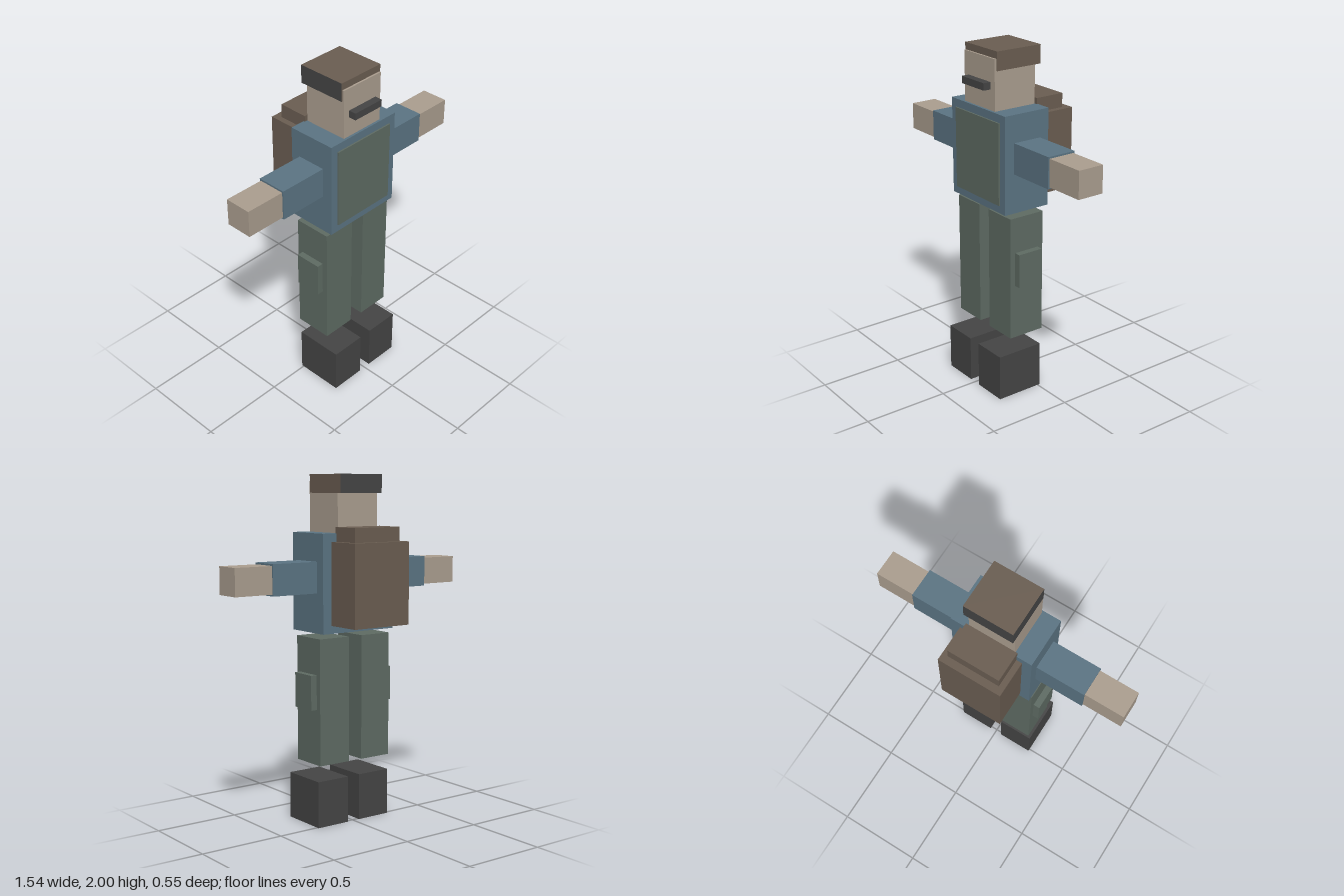
import * as THREE from 'three';

const mat = (name, color) => {
  const m = new THREE.MeshStandardMaterial({ color });
  m.name = name;
  return m;
};

export function createModel() {
  const model = new THREE.Group();
  model.name = 'figure';

  const skin = mat('skin', 0xac9f90);
  const blue = mat('blueShirt', 0x5c7584);
  const green = mat('greenCloth', 0x5f6c64);
  const brown = mat('brownLeather', 0x6b5e52);
  const dark = mat('darkGrey', 0x454545);

  // Box given by its [min, max] range on each axis
  const box = (name, material, x, y, z, parent = model) => {
    const mesh = new THREE.Mesh(
      new THREE.BoxGeometry(x[1] - x[0], y[1] - y[0], z[1] - z[0]), material);
    mesh.position.set((x[0] + x[1]) / 2, (y[0] + y[1]) / 2, (z[0] + z[1]) / 2);
    mesh.name = name;
    parent.add(mesh);
    return mesh;
  };

  // Head; the cap is brown on three faces and grey on the others
  box('head', skin, [-0.138, 0.138], [1.676, 1.96], [-0.05, 0.217]);
  box('cap', [brown, dark, brown, dark, brown, dark], [-0.145, 0.145], [1.895, 2], [-0.083, 0.206]);
  box('moustache', dark, [-0.1, 0.1], [1.79, 1.83], [0.21, 0.262]);

  // Torso with chest panel
  box('torso', blue, [-0.246, 0.246], [1.12, 1.676], [-0.06, 0.231]);
  box('chestPanel', green, [-0.2, 0.2], [1.165, 1.63], [0.2, 0.24]);

  // Backpack with a raised top
  box('backpack', brown, [-0.189, 0.189], [1.165, 1.63], [-0.273, -0.055]);
  box('backpackTop', brown, [-0.155, 0.155], [1.6, 1.71], [-0.23, -0.052]);

  // Mirrored limbs
  for (const [side, s] of [['left', 1], ['right', -1]]) {
    const span = (a, b) => (s > 0 ? [a, b] : [-b, -a]);
    const arm = new THREE.Group();
    arm.name = side + 'Arm';
    box(side + 'Sleeve', blue, span(0.24, 0.536), [1.345, 1.52], [-0.003, 0.171], arm);
    box(side + 'Hand', skin, span(0.53, 0.77), [1.355, 1.51], [0.005, 0.163], arm);

    const leg = new THREE.Group();
    leg.name = side + 'Leg';
    box(side + 'Trouser', green, span(0.045, 0.246), [0.365, 1.09], [-0.027, 0.196], leg);
    box(side + 'Pocket', green, span(0.235, 0.284), [0.685, 0.884], [0.006, 0.163], leg);
    box(side + 'Boot', dark, span(0.04, 0.25), [0, 0.27], [-0.013, 0.273], leg);
    model.add(arm, leg);
  }
  return model;
}
